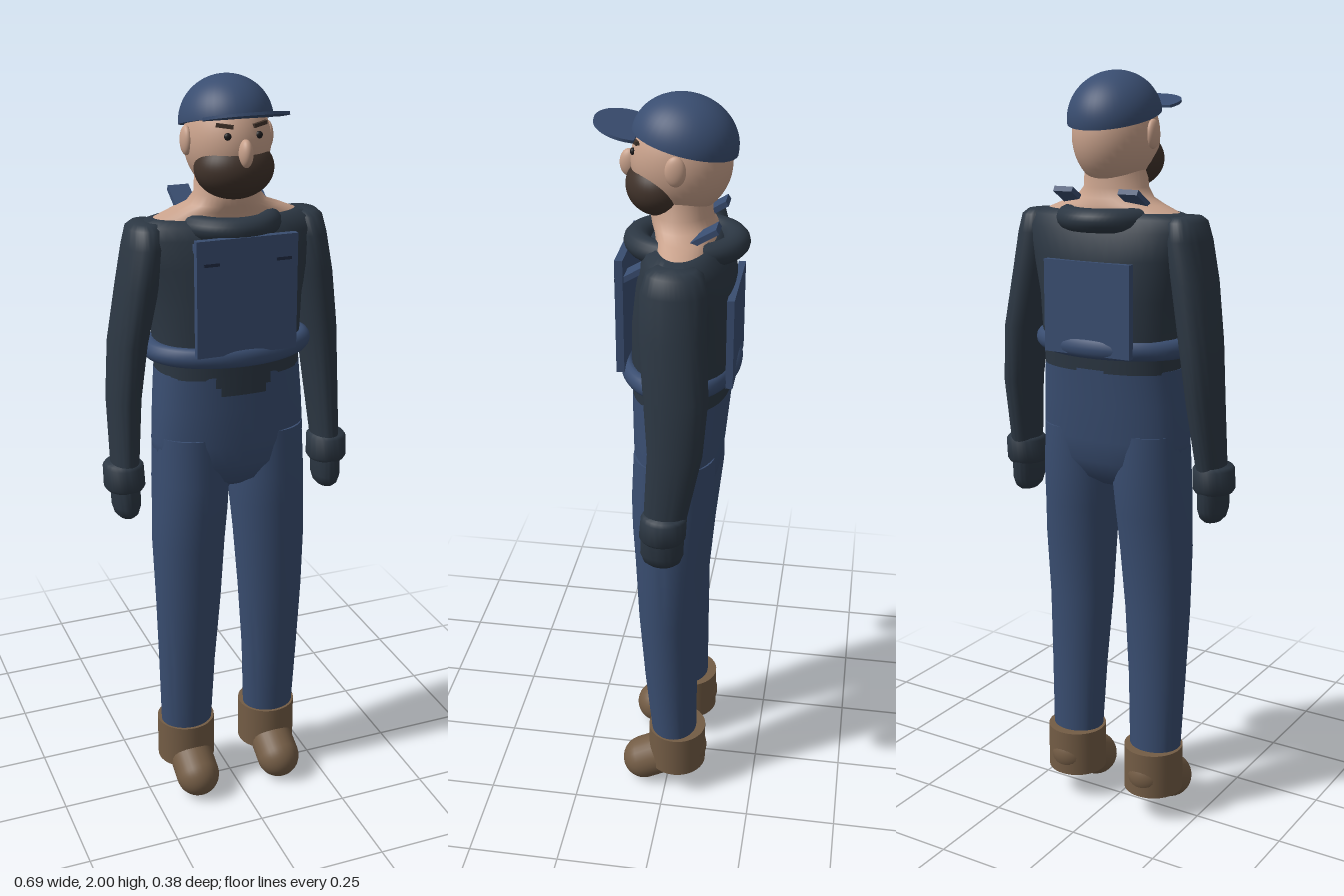
import * as THREE from 'three';
import { mergeVertices, toCreasedNormals } from 'three/addons/utils/BufferGeometryUtils.js';

const material = (name, color) => {
  const m = new THREE.MeshStandardMaterial({ color });
  m.name = name;
  return m;
};

// Skin through elliptical rings, top to bottom: [y, centreX, radiusX, centreZ, radiusZ]
function loft(rings, { power = 2, from = 0, to = Math.PI * 2, caps = true, seg = 40 } = {}) {
  const first = rings[0], last = rings[rings.length - 1];
  const shut = (r) => [r[0], r[1], 0, r[3], 0];
  const all = caps ? [shut(first), ...rings, shut(last)] : rings;
  const pos = [], idx = [];
  const bend = (v) => Math.sign(v) * Math.abs(v) ** (2 / power);
  for (const [y, cx, rx, cz, rz] of all)
    for (let j = 0; j <= seg; j++) {
      const t = from + ((to - from) * j) / seg;
      pos.push(cx + rx * bend(Math.cos(t)), y, cz + rz * bend(Math.sin(t)));
    }
  for (let i = 0; i < all.length - 1; i++)
    for (let j = 0; j < seg; j++) {
      const a = i * (seg + 1) + j, b = a + seg + 1;
      if (!caps || i > 0) idx.push(a, a + 1, b);
      else idx.push(a, b + 1, b);
      if (!caps || (i > 0 && i < all.length - 2)) idx.push(a + 1, b + 1, b);
    }
  const g = new THREE.BufferGeometry();
  g.setAttribute('position', new THREE.Float32BufferAttribute(pos, 3));
  g.setIndex(idx);
  return toCreasedNormals(mergeVertices(g, 1e-5), 0.95);
}

const ball = (rx, ry, rz, ...arc) => new THREE.SphereGeometry(1, 40, 24, ...arc).scale(rx, ry, rz);
const ringRoll = (rx, rz, tube) =>
  new THREE.TorusGeometry(rx, tube, 14, 56).rotateX(Math.PI / 2).scale(1, 1, rz / rx);

export function createModel() {
  const model = new THREE.Group();
  const denim = material('denim blue', 0x394d70);
  const wool = material('dark wool', 0x2c3743);
  const skin = material('skin', 0xc8a18b);
  const leather = material('brown leather', 0x735c45);
  const hair = material('dark brown hair', 0x40322a);
  const ink = material('near black', 0x1d1b1c);
  const seam = material('dark seam blue', 0x202b42);

  const add = (name, geometry, mat, x = 0, y = 0, z = 0, parent = model) => {
    const m = new THREE.Mesh(geometry, mat);
    m.name = name;
    m.position.set(x, y, z);
    parent.add(m);
    return m;
  };

  // Body
  add('sweater', loft([
    [1.663, 0, 0.19, -0.035, 0.072],
    [1.65, 0, 0.235, -0.035, 0.09],
    [1.62, 0, 0.245, -0.036, 0.105],
    [1.55, 0, 0.222, -0.035, 0.12],
    [1.45, 0, 0.2, -0.032, 0.13],
    [1.36, 0, 0.195, -0.03, 0.13],
    [1.265, 0, 0.192, -0.026, 0.125],
  ], { power: 2.4 }), wool);
  add('neckAndShoulders', loft([
    [1.8, 0, 0.08, -0.02, 0.075],
    [1.72, 0, 0.084, -0.02, 0.076],
    [1.695, 0, 0.105, -0.025, 0.076],
    [1.68, 0, 0.145, -0.033, 0.075],
    [1.661, 0, 0.193, -0.035, 0.073],
  ]), skin);
  add('collar', ringRoll(0.11, 0.122, 0.03), wool, 0, 1.646, -0.033);

  // Trousers
  add('hips', loft([
    [1.272, 0, 0.194, -0.026, 0.126],
    [1.18, 0, 0.202, -0.022, 0.121],
    [1.08, 0, 0.208, -0.018, 0.115],
    [1.02, 0, 0.205, -0.016, 0.108],
    [0.97, 0, 0.15, -0.014, 0.085],
    [0.945, 0, 0.06, -0.012, 0.05],
  ], { power: 2.3 }), denim);
  const fly = (name, top, bottom, spread) => add(name, loft([
    [top, 0, 0.197, -0.026, 0.129],
    [bottom, 0, 0.2, -0.024, 0.127],
  ], { power: 2.3, from: Math.PI / 2 - spread, to: Math.PI / 2 + spread, caps: false }), wool);
  fly('sweaterHemUpper', 1.275, 1.245, 0.33);
  fly('sweaterHemLower', 1.245, 1.222, 0.26);

  // Dungaree bib, back panel, waistband
  add('bib', new THREE.BoxGeometry(0.265, 0.295, 0.02), denim, 0, 1.487, 0.113);
  add('backPanel', new THREE.BoxGeometry(0.25, 0.235, 0.018), denim, 0, 1.428, -0.157);
  add('waistband', ringRoll(0.2, 0.136, 0.026), denim, 0, 1.328, -0.022);

  // Head
  add('head', ball(0.106, 0.13, 0.122), skin, 0, 1.845, -0.02);
  add('beard', ball(0.1, 0.076, 0.086, 0, Math.PI * 2, 1.0, Math.PI - 1.0), hair, 0, 1.786, 0.029)
    .material.side = THREE.DoubleSide;
  add('nose', ball(0.017, 0.034, 0.024), skin, 0, 1.832, 0.106);

  // Cap, tipped up at the front
  const cap = new THREE.Group();
  cap.name = 'cap';
  cap.position.set(0, 1.89, -0.027);
  cap.rotation.x = -0.23;
  model.add(cap);
  add('capCrown', ball(0.115, 0.111, 0.129, 0, Math.PI * 2, 0, Math.PI / 2), denim, 0, 0, 0, cap);
  add('capUnderside', new THREE.CircleGeometry(1, 40).rotateX(Math.PI / 2).scale(0.115, 1, 0.129),
    denim, 0, 0, 0, cap);
  const brim = new THREE.Shape();
  brim.moveTo(-0.098, 0);
  brim.bezierCurveTo(-0.125, 0.05, -0.08, 0.112, 0, 0.112);
  brim.bezierCurveTo(0.08, 0.112, 0.125, 0.05, 0.098, 0);
  add('capBrim', new THREE.ExtrudeGeometry(brim, { depth: 0.007, bevelEnabled: false, curveSegments: 24 })
    .rotateX(Math.PI / 2), denim, 0, 0.002, 0.108, cap);

  // Mirrored parts
  for (const s of [1, -1]) {
    const side = s > 0 ? 'left' : 'right';
    const mir = (rings) => rings.map(([y, x, ...rest]) => [y, s * x, ...rest]);

    add(side + 'Leg', loft(mir([
      [1.1, 0.105, 0.1, -0.018, 0.105],
      [0.97, 0.107, 0.104, -0.015, 0.108],
      [0.88, 0.111, 0.102, -0.011, 0.102],
      [0.78, 0.117, 0.099, -0.009, 0.093],
      [0.6, 0.121, 0.09, -0.005, 0.081],
      [0.4, 0.125, 0.079, -0.012, 0.073],
      [0.17, 0.126, 0.071, -0.023, 0.062],
    ])), denim);
    add(side + 'BootShaft', new THREE.CylinderGeometry(0.081, 0.081, 0.127, 40), leather, s * 0.125, 0.142, -0.03);
    add(side + 'Foot', new THREE.CapsuleGeometry(0.061, 0.14, 12, 28), leather, s * 0.125, 0.095, 0.007)
      .rotation.x = Math.PI / 2 + 0.5;

    add(side + 'Sleeve', loft(mir([
      [1.657, 0.21, 0.035, -0.035, 0.05],
      [1.645, 0.212, 0.047, -0.035, 0.068],
      [1.6, 0.217, 0.053, -0.033, 0.08],
      [1.5, 0.236, 0.053, -0.033, 0.081],
      [1.35, 0.262, 0.049, -0.045, 0.079],
      [1.2, 0.277, 0.044, -0.045, 0.068],
      [1.02, 0.286, 0.036, -0.022, 0.054],
    ])), wool);
    add(side + 'SleeveCuff', loft(mir([
      [1.032, 0.291, 0.047, -0.02, 0.052],
      [1.024, 0.291, 0.053, -0.02, 0.058],
      [0.97, 0.29, 0.054, -0.016, 0.059],
      [0.961, 0.29, 0.048, -0.016, 0.053],
    ])), wool);
    add(side + 'Hand', loft(mir([
      [0.97, 0.288, 0.038, -0.016, 0.055],
      [0.915, 0.288, 0.037, -0.014, 0.055],
      [0.893, 0.288, 0.031, -0.014, 0.047],
      [0.882, 0.288, 0.021, -0.014, 0.033],
      [0.878, 0.288, 0.01, -0.014, 0.016],
    ])), wool);

    // Strap running from the bib through to the back of the shoulder
    add(side + 'Strap', new THREE.BoxGeometry(0.055, 0.014, 0.265), denim, s * 0.094, 1.648, -0.008)
      .rotation.x = 0.54;
    add(side + 'BibPocketSlit', new THREE.BoxGeometry(0.04, 0.008, 0.006), seam, s * 0.095, 1.575, 0.124);

    add(side + 'Ear', ball(0.014, 0.036, 0.025), skin, s * 0.106, 1.85, -0.02);
    add(side + 'Eye', ball(0.009, 0.009, 0.007), ink, s * 0.04, 1.872, 0.09);
    const brow = add(side + 'Eyebrow', new THREE.BoxGeometry(0.042, 0.009, 0.009), hair, s * 0.045, 1.896, 0.083);
    brow.rotation.set(0, s * 0.4, s * 0.12);
  }
  return model;
}
